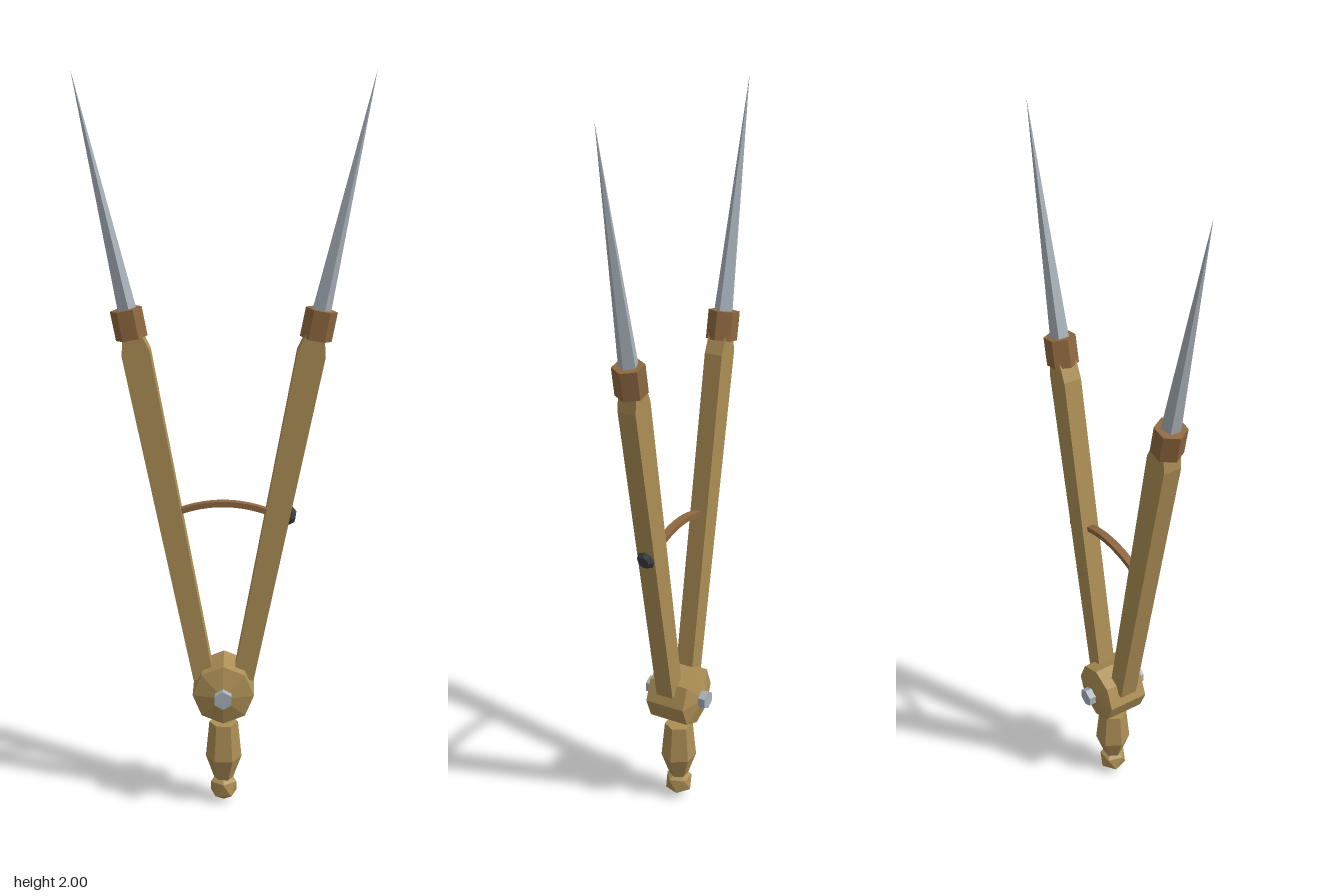
import * as THREE from 'three';

const material = (name, color) => {
  const m = new THREE.MeshStandardMaterial({ color, flatShading: true });
  m.name = name;
  return m;
};

export function createModel() {
  const brass = material('brass', 0xad8f55);
  const bronze = material('bronze', 0x8f6840);
  const steel = material('steel', 0xa9b3bb);
  const iron = material('dark iron', 0x3c3c42);

  const model = new THREE.Group();
  model.name = 'dividers';

  const add = (name, geometry, mat, x = 0, y = 0, z = 0, tilt = 0) => {
    const mesh = new THREE.Mesh(geometry, mat);
    mesh.name = name;
    mesh.position.set(x, y, z);
    mesh.rotation.z = tilt;
    model.add(mesh);
    return mesh;
  };
  const lathe = (points, sides, start = 0) =>
    new THREE.LatheGeometry(points.map(([r, y]) => new THREE.Vector2(r, y)), sides, start);
  // flat outline extruded evenly about z = 0
  const slab = (shape, depth, curveSegments = 8) => {
    const g = new THREE.ExtrudeGeometry(shape, { depth, bevelEnabled: false, curveSegments });
    return g.translate(0, 0, -depth / 2);
  };

  // handle grip and faceted end knob
  add('handle', lathe([[0, 0.07], [0.027, 0.07], [0.05, 0.135], [0.04, 0.24], [0, 0.24]], 6, Math.PI / 2), brass);
  const knob = new THREE.IcosahedronGeometry(0.042, 0);
  knob.rotateX(-Math.atan2(1 + Math.sqrt(5), 2));
  add('handleKnob', knob, brass, 0, 0.042);

  // octagonal hinge with a hexagonal pin through it
  const hub = lathe([[0, -0.075], [0.02, -0.075], [0.084, -0.058], [0.084, 0.058], [0.02, 0.075], [0, 0.075]], 8);
  add('hinge', hub.rotateX(Math.PI / 2), brass, 0, 0.345);
  const pin = new THREE.CylinderGeometry(0.026, 0.026, 0.188, 6).rotateX(Math.PI / 2);
  add('hingePin', pin, steel, 0, 0.345);

  // tapered leg outline, from its lower end upwards
  const legShape = new THREE.Shape([
    [-0.028, 0], [0.028, 0], [0.037, 0.925], [0.024, 0.975], [-0.024, 0.975], [-0.037, 0.925],
  ].map(([x, y]) => new THREE.Vector2(x, y)));
  const legGeometry = slab(legShape, 0.051);
  const collarGeometry = new THREE.CylinderGeometry(0.042, 0.042, 0.078, 6, 1, false, Math.PI / 2);
  const spikeGeometry = new THREE.CylinderGeometry(0, 0.027, 0.635, 5, 1, false, Math.PI / 2);
  spikeGeometry.translate(0, 0.3175, 0);

  const lean = 0.188;
  for (const [side, s] of [['left', 1], ['right', -1]]) {
    add(side + 'Leg', legGeometry, brass, s * 0.055, 0.38, 0, -s * lean);
    add(side + 'Collar', collarGeometry, bronze, s * 0.246, 1.364, 0, -s * lean);
    add(side + 'Spike', spikeGeometry, steel, s * 0.247, 1.379, 0, -s * 0.211);
  }

  // curved spreader bar between the legs
  const half = 0.36;
  const arc = new THREE.Shape();
  arc.absarc(0, 0.545, 0.34, Math.PI / 2 - half, Math.PI / 2 + half, false);
  arc.absarc(0, 0.545, 0.325, Math.PI / 2 + half, Math.PI / 2 - half, true);
  add('spreaderArc', slab(arc, 0.021, 8), bronze);

  // thumb screw on the outside of the left leg
  const stem = new THREE.CylinderGeometry(0.015, 0.015, 0.03, 6).rotateZ(-Math.PI / 2);
  add('screwStem', stem, iron, 0.172, 0.846, 0, -lean);
  const head = lathe([[0, -0.011], [0.018, -0.011], [0.026, 0], [0.016, 0.012], [0, 0.012]], 8);
  add('screwHead', head.rotateZ(-Math.PI / 2), iron, 0.18, 0.844, 0, -lean);

  return model;
}
